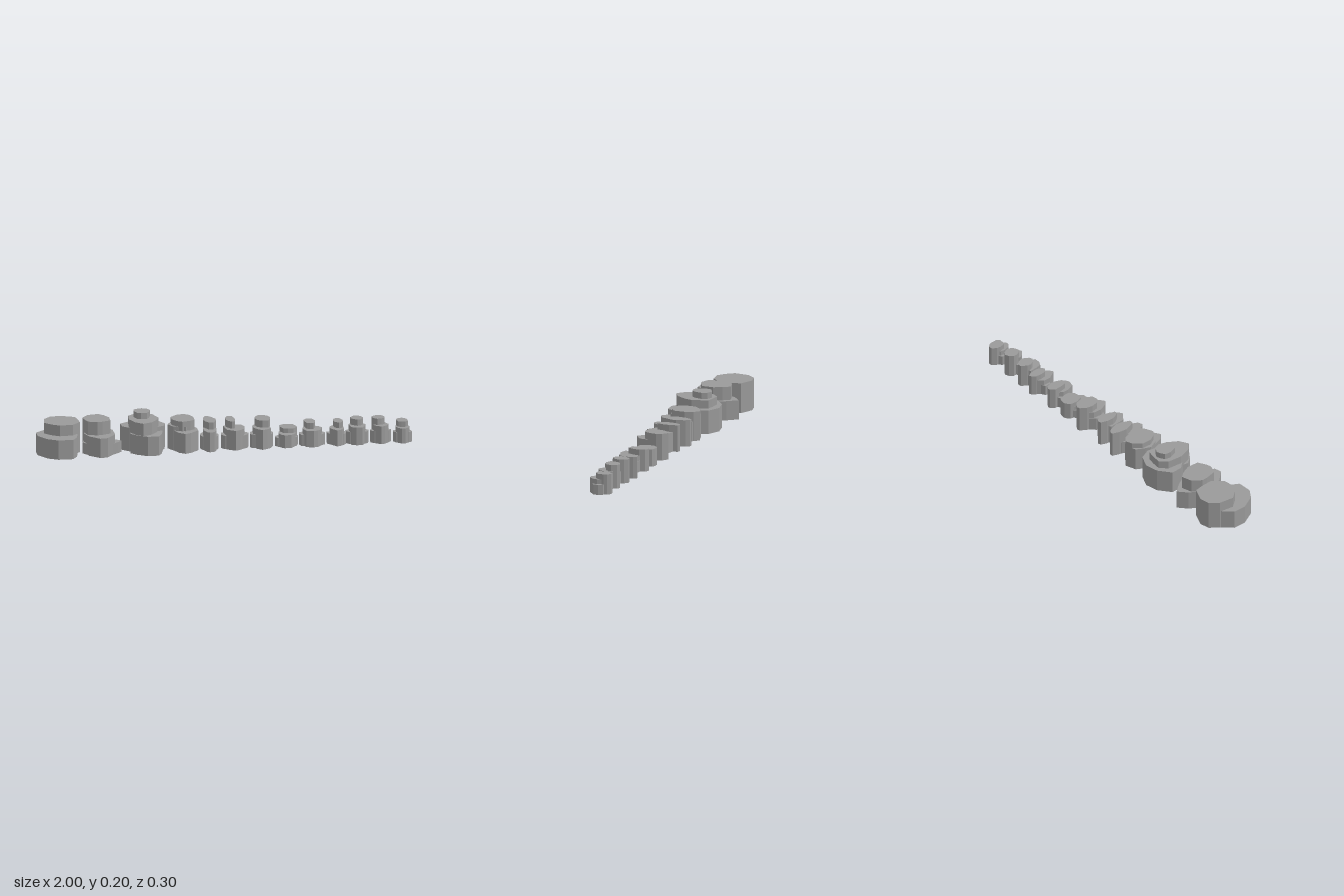
import * as THREE from 'three';

const rockGrey = new THREE.MeshStandardMaterial({ color: 0x999999 });
rockGrey.name = 'rockGrey';

// Repeatable value in 0..1
function noise(seed, k) {
  const s = Math.sin(seed * 12.99 + k * 78.23) * 43758.5;
  return s - Math.floor(s);
}

// Irregular polygon that fills x0..x1, z0..z1
function lobeOutline(x0, x1, z0, z1, seed) {
  const sides = 10;
  const raw = [];
  for (let i = 0; i < sides; i++) {
    const a = ((i + 0.5 * noise(seed, i)) / sides) * Math.PI * 2;
    const r = 0.85 + 0.2 * noise(seed, i + 20);
    raw.push(new THREE.Vector2(Math.cos(a) * r, Math.sin(a) * r));
  }
  const box = new THREE.Box2().setFromPoints(raw);
  return raw.map((p) => new THREE.Vector2(
    THREE.MathUtils.mapLinear(p.x, box.min.x, box.max.x, x0, x1),
    THREE.MathUtils.mapLinear(p.y, box.min.y, box.max.y, -z1, -z0),
  ));
}

// Vertical stone column standing on the ground
function column(x0, x1, z0, z1, height, seed) {
  const shape = new THREE.Shape(lobeOutline(x0, x1, z0, z1, seed));
  const geo = new THREE.ExtrudeGeometry(shape, { depth: height, bevelEnabled: false });
  geo.rotateX(-Math.PI / 2);
  return new THREE.Mesh(geo, rockGrey);
}

// Large rocks: tiers as x0, x1, z0, z1, height
const largeRocks = [
  [[-1, -0.78, -0.11, 0.15, 0.105], [-0.96, -0.77, -0.15, 0.06, 0.163]],
  [[-0.76, -0.55, -0.04, 0.09, 0.06], [-0.75, -0.59, -0.15, 0.145, 0.105], [-0.75, -0.61, -0.107, 0.07, 0.177]],
  [[-0.51, -0.33, -0.06, 0.14, 0.105], [-0.545, -0.31, -0.14, 0.05, 0.128],
    [-0.51, -0.35, -0.105, 0.12, 0.172], [-0.48, -0.39, -0.087, 0.02, 0.205]],
  [[-0.28, -0.145, -0.09, 0.12, 0.108], [-0.3, -0.18, -0.1, 0.06, 0.13], [-0.28, -0.16, -0.11, 0.06, 0.16]],
];

// Small rocks: x0, x1, half depth, crown x0, crown x1, crown height
const smallRocks = [
  [-0.13, -0.03, 0.105, -0.11, -0.04, 0.145],
  [-0.02, 0.13, 0.09, 0.01, 0.06, 0.145],
  [0.135, 0.26, 0.092, 0.165, 0.25, 0.145],
  [0.27, 0.395, 0.075, 0.3, 0.39, 0.095],
  [0.4, 0.54, 0.078, 0.43, 0.49, 0.12],
  [0.55, 0.65, 0.075, 0.585, 0.635, 0.118],
  [0.65, 0.77, 0.065, 0.675, 0.745, 0.13],
  [0.78, 0.89, 0.06, 0.79, 0.86, 0.13],
  [0.9, 1, 0.06, 0.92, 0.98, 0.11],
];

// Wide foot, forward shoulder and a tall crown set towards the back
function smallTiers([x0, x1, d, c0, c1, h]) {
  const inset = (x1 - x0) * 0.13;
  return [
    [x0, x1, -0.55 * d, 0.65 * d, h * 0.5],
    [x0 + inset, x1 - inset, -0.65 * d, d, h * 0.74],
    [c0, c1, -d, 0.4 * d, h],
  ];
}

export function createModel() {
  const model = new THREE.Group();
  model.name = 'rockRow';

  const rocks = [...largeRocks, ...smallRocks.map(smallTiers)];
  rocks.forEach((tiers, r) => {
    const rock = new THREE.Group();
    rock.name = `rock${r + 1}`;
    tiers.forEach((tier, t) => {
      const stone = column(...tier, r * 5 + t + 1);
      stone.name = `stoneTier${t + 1}`;
      rock.add(stone);
    });
    model.add(rock);
  });

  return model;
}
